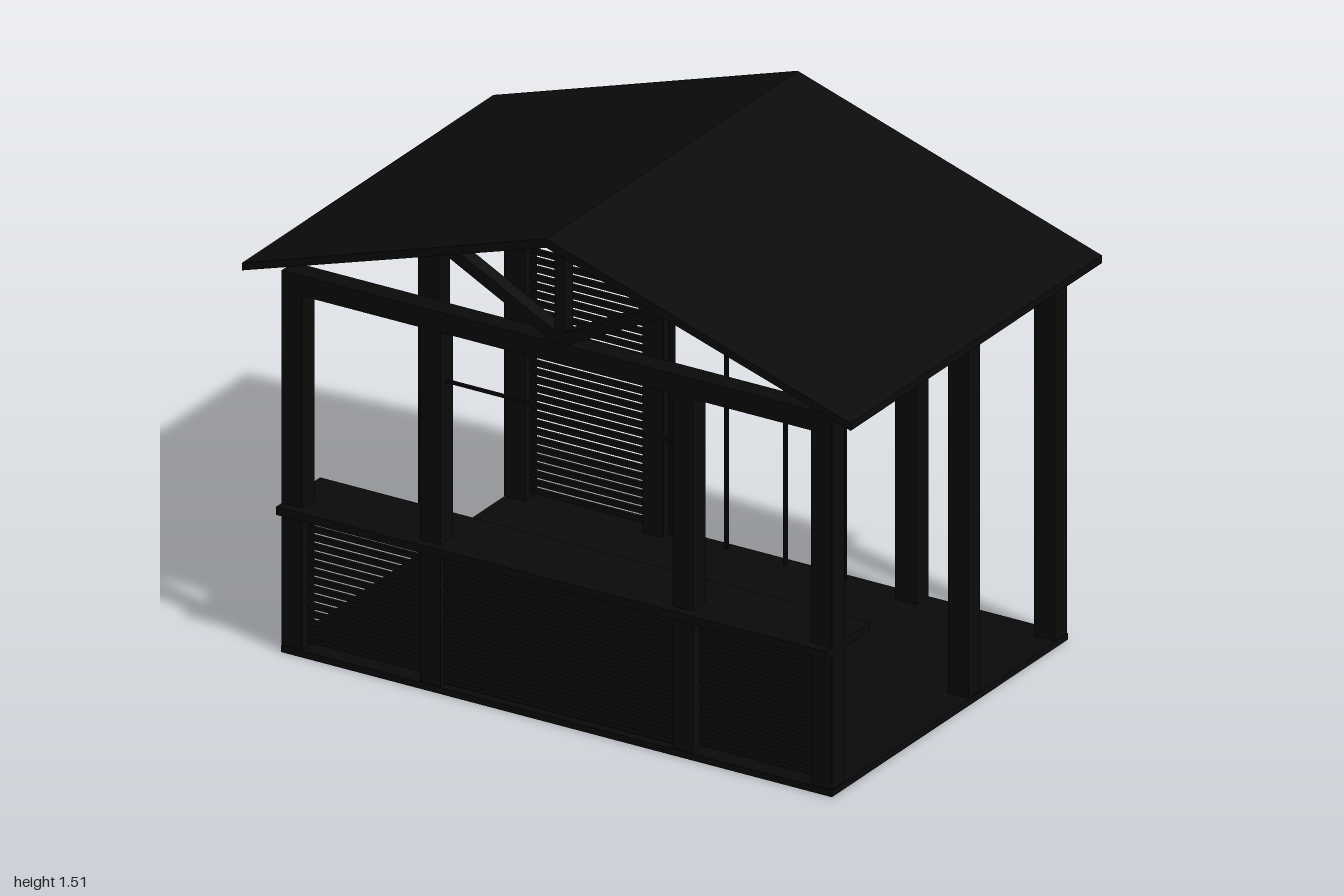
import * as THREE from 'three';

const black = new THREE.MeshStandardMaterial({ color: 0x0a0a0a });

export function createModel() {
  const model = new THREE.Group();

  // Box given by its extents on each axis
  const box = (name, [x0, x1], [y0, y1], [z0, z1], parent = model) => {
    const mesh = new THREE.Mesh(new THREE.BoxGeometry(x1 - x0, y1 - y0, z1 - z0), black);
    mesh.position.set((x0 + x1) / 2, (y0 + y1) / 2, (z0 + z1) / 2);
    mesh.name = name;
    parent.add(mesh);
    return mesh;
  };

  const FRONT = [0.535, 0.6], BACK = [-0.63, -0.565], MIDDLE = [-0.175, -0.115];

  box('floor', [-0.905, 0.905], [0, 0.02], [-0.63, 0.605]);

  // Posts: four along the front and back, one halfway along each side
  for (const x of [-0.873, -0.418, 0.412, 0.868]) {
    const span = [x - 0.034, x + 0.034];
    box('frontPost', span, [0.02, 1.11], FRONT);
    box('backPost', span, [0.02, 1.11], BACK);
    if (Math.abs(x) > 0.5) box('sidePost', span, [0.02, 1.1], MIDDLE);
  }
  box('frontBeam', [-0.907, 0.902], [1.105, 1.167], FRONT);
  box('backBeam', [-0.907, 0.902], [1.105, 1.167], BACK);

  // Gable roof: a bent slab running front to back
  const profile = new THREE.Shape([
    [-1, 1.167], [0, 1.482], [1, 1.167], [1, 1.19], [0, 1.51], [-1, 1.19],
  ].map(([x, y]) => new THREE.Vector2(x, y)));
  const roof = new THREE.Mesh(
    new THREE.ExtrudeGeometry(profile, { depth: 1.315, bevelEnabled: false }), black);
  roof.position.z = -0.657;
  roof.name = 'roof';
  model.add(roof);

  // Front truss: king post and two struts
  const truss = new THREE.Group();
  truss.name = 'frontTruss';
  model.add(truss);
  box('kingPost', [-0.016, 0.016], [1.16, 1.49], [0.545, 0.59], truss);
  for (const side of [-1, 1]) {
    const dx = 0.39, dy = 0.2;
    const half = Math.hypot(dx, dy) / 2;
    const strut = box('strut', [-half, half], [-0.018, 0.018], [0.545, 0.59], truss);
    strut.position.x = side * dx / 2;
    strut.position.y = 1.17 + dy / 2;
    strut.rotation.z = side * Math.atan2(dy, dx);
  }

  // Serving counter and the rail above it
  box('counter', [-0.905, 0.902], [0.43, 0.455], [0.4, 0.63]);
  box('frontRail', [-0.385, 0.378], [0.94, 0.948], [0.562, 0.572]);

  // Slatted screens
  const PITCH = 0.0262;
  const slats = (name, x, [y0, y1], z, height = 0.016) => {
    const group = new THREE.Group();
    group.name = name;
    model.add(group);
    for (let y = y0; y + height <= y1 + 0.001; y += PITCH)
      box('slat', x, [y, y + height], [z - 0.006, z + 0.006], group);
  };
  slats('frontRightScreen', [-0.838, -0.462], [0.035, 0.425], 0.568);
  slats('frontLeftScreen', [0.452, 0.83], [0.035, 0.425], 0.568);
  slats('backScreen', [-0.838, -0.462], [0.035, 0.785], -0.598);

  // Centre front screen: two staggered layers that close the gaps
  slats('centreOuterScreen', [-0.382, 0.376], [0.025, 0.43], 0.58);
  slats('centreInnerScreen', [-0.382, 0.376], [0.025 + PITCH / 2, 0.43], 0.556);

  // Back window frame: header, transom, slim mullions and jambs
  const frame = new THREE.Group();
  frame.name = 'backWindowFrame';
  model.add(frame);
  box('header', [-0.388, 0.382], [1.05, 1.185], [-0.615, -0.58], frame);
  box('transom', [-0.384, 0.378], [0.778, 0.808], [-0.61, -0.585], frame);
  for (const x of [-0.381, -0.197, -0.003, 0.191, 0.372])
    box('mullion', [x - 0.005, x + 0.005], [0.02, 1.05], [-0.603, -0.592], frame);

  return model;
}
